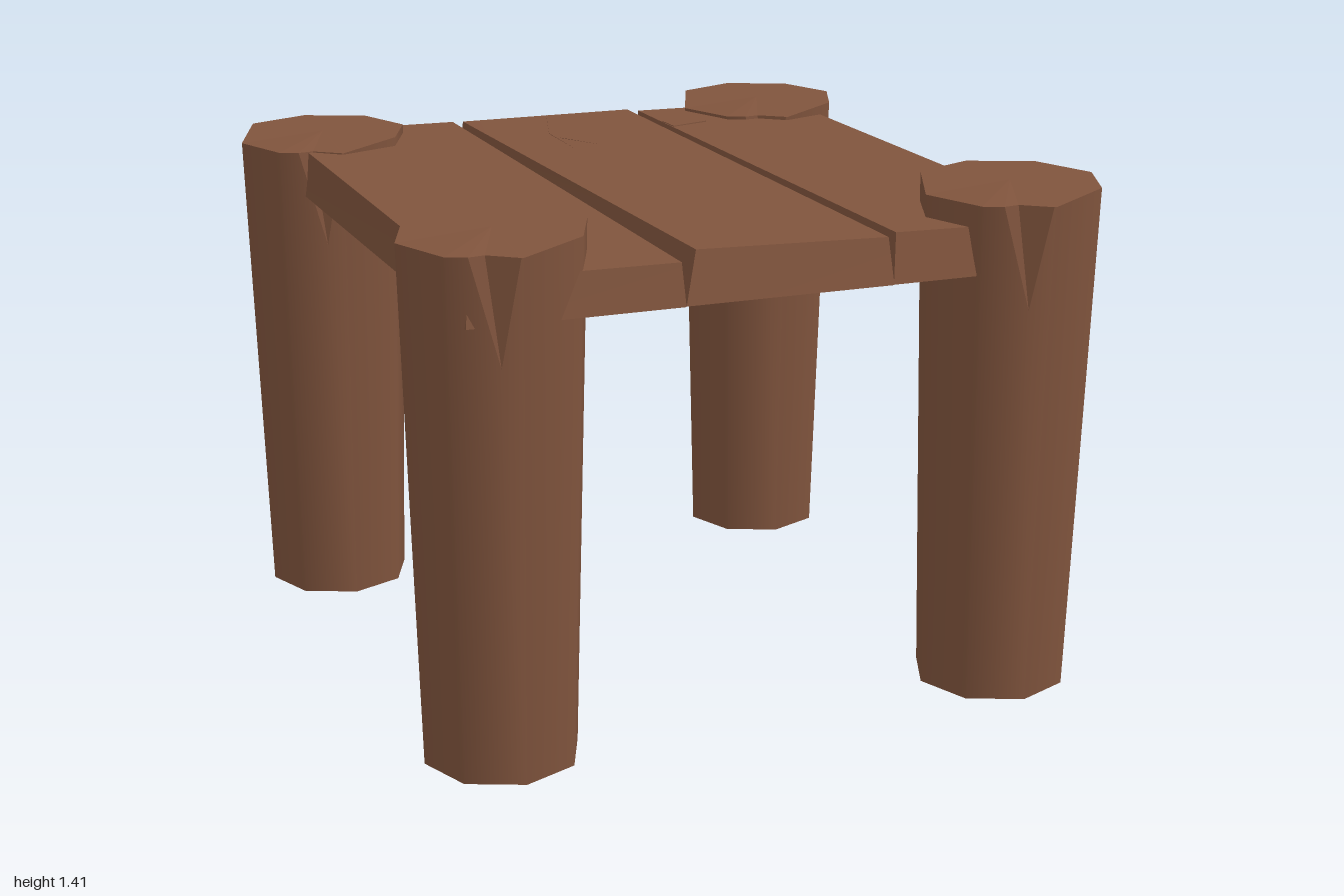
import * as THREE from 'three';

const wood = new THREE.MeshStandardMaterial({ color: 0x80543d });
wood.name = 'brown wood';

function part(name, geometry, parent) {
  const mesh = new THREE.Mesh(geometry, wood);
  mesh.name = name;
  parent.add(mesh);
  return mesh;
}

// triangles from a list of Vector3 triples, flat shaded
function facets(triangles) {
  const geometry = new THREE.BufferGeometry().setFromPoints(triangles.flat());
  geometry.computeVertexNormals();
  return geometry;
}

// octagonal tapered post, with a wedge split out of the top of one side
function makePost(name, x, y, z) {
  const post = new THREE.Group();
  post.name = name;
  post.position.set(x, y, z);
  const H = 1.357, R = 0.238, r = 0.202, step = Math.PI / 4;
  const drop = (i) => (i === 0 || i >= 6 ? 0.02 : 0); // worn side of the rim
  const at = (radius, i, h) =>
    new THREE.Vector3(Math.sin(i * step) * radius, h, Math.cos(i * step) * radius);
  const top = (i) => at(R, i % 8, H - drop(i % 8));

  const body = new THREE.CylinderGeometry(R, r, H, 7, 1, true, 0, 7 * step);
  body.translate(0, H / 2, 0);
  const p = body.attributes.position;
  for (let k = 0; k <= 7; k++) p.setY(k, H - drop(k));
  part('postSides', body, post);

  // split side
  const a = top(7), b = top(0), c = at(r, 7, 0), d = at(r, 0, 0);
  const v = a.clone().lerp(b, 0.7).lerp(c.clone().lerp(d, 0.7), 0.2);
  const notch = a.clone().lerp(b, 0.5).multiply(new THREE.Vector3(0.9, 1, 0.9));
  const a2 = a.clone().lerp(b, 0.3), b2 = a.clone().lerp(b, 0.97);
  const side = facets([[a, c, v], [a, v, a2], [c, d, v], [d, b, v], [b, b2, v]]);
  const sp = side.attributes.position, sn = side.attributes.normal;
  for (let k = 0; k < sp.count; k++) {
    const n = new THREE.Vector3(sp.getX(k), 0, sp.getZ(k)).normalize();
    sn.setXYZ(k, n.x, n.y, n.z);
  }
  part('splitSide', side, post);
  part('splitNotch', facets([[a2, v, notch], [notch, v, b2]]), post);

  // top and bottom
  const rim = [0, 1, 2, 3, 4, 5, 6, 7].map(top);
  rim.push(a2, notch, b2, rim[0]);
  const centre = new THREE.Vector3(0, H, 0);
  part('postTop', facets(rim.slice(1).map((q, i) => [centre, rim[i], q])), post);
  const base = new THREE.CircleGeometry(r, 8);
  base.rotateX(Math.PI / 2);
  part('postBottom', base, post);
  return post;
}

// plank from corner values: [xLeft, xRight, z] at back and front, for top and bottom
function makePlank(name, plank, parent) {
  const geometry = new THREE.BoxGeometry(1, 1, 1);
  const p = geometry.attributes.position;
  for (let i = 0; i < p.count; i++) {
    const level = p.getY(i) > 0 ? plank.top : plank.bottom;
    const end = p.getZ(i) > 0 ? level.front : level.back;
    const right = p.getX(i) > 0;
    p.setXYZ(i, end[right ? 1 : 0], end[right ? 4 : 3], end[2]);
  }
  geometry.computeVertexNormals();
  return part(name, geometry, parent);
}

// flat splinter lifted slightly from a plank
function makeSplinter(name, points, y, parent) {
  const shape = new THREE.Shape(points.map(([x, z]) => new THREE.Vector2(x, -z)));
  const geometry = new THREE.ExtrudeGeometry(shape, { depth: 0.006, bevelEnabled: false });
  geometry.rotateX(-Math.PI / 2);
  part(name, geometry, parent).position.y = y;
}

export function createModel() {
  const model = new THREE.Group();
  model.name = 'woodenTable';

  // posts
  model.add(
    makePost('frontRightPost', -0.673, 0.053, 0.755),
    makePost('frontLeftPost', 0.708, 0.053, 0.75),
    makePost('backRightPost', -0.713, 0, -0.733),
    makePost('backLeftPost', 0.663, 0, -0.763),
  );

  // planks: each end is [x1, x2, z, y1, y2]
  makePlank('rightPlank', {
    top: { back: [-0.805, -0.29, -0.845, 1.335, 1.33], front: [-0.785, -0.26, 0.925, 1.33, 1.325] },
    bottom: { back: [-0.82, -0.29, -0.85, 1.21, 1.21], front: [-0.8, -0.255, 0.945, 1.22, 1.22] },
  }, model);
  makePlank('middlePlank', {
    top: { back: [-0.26, 0.265, -0.84, 1.33, 1.33], front: [-0.205, 0.305, 0.878, 1.34, 1.325] },
    bottom: { back: [-0.27, 0.265, -0.84, 1.205, 1.205], front: [-0.24, 0.31, 0.908, 1.21, 1.21] },
  }, model);
  makePlank('leftPlank', {
    top: { back: [0.29, 0.79, -0.81, 1.33, 1.325], front: [0.325, 0.825, 0.878, 1.335, 1.325] },
    bottom: { back: [0.275, 0.79, -0.81, 1.205, 1.2], front: [0.31, 0.832, 0.905, 1.21, 1.21] },
  }, model);

  // splinters in the grain
  makeSplinter('middleSplinter',
    [[0, -0.83], [-0.08, -0.57], [-0.08, -0.15], [-0.07, -0.5], [0, -0.38], [0.02, -0.55]], 1.327, model);
  makeSplinter('leftSplinter', [[0.295, -0.62], [0.3, -0.54], [0.42, -0.58]], 1.327, model);

  return model;
}
